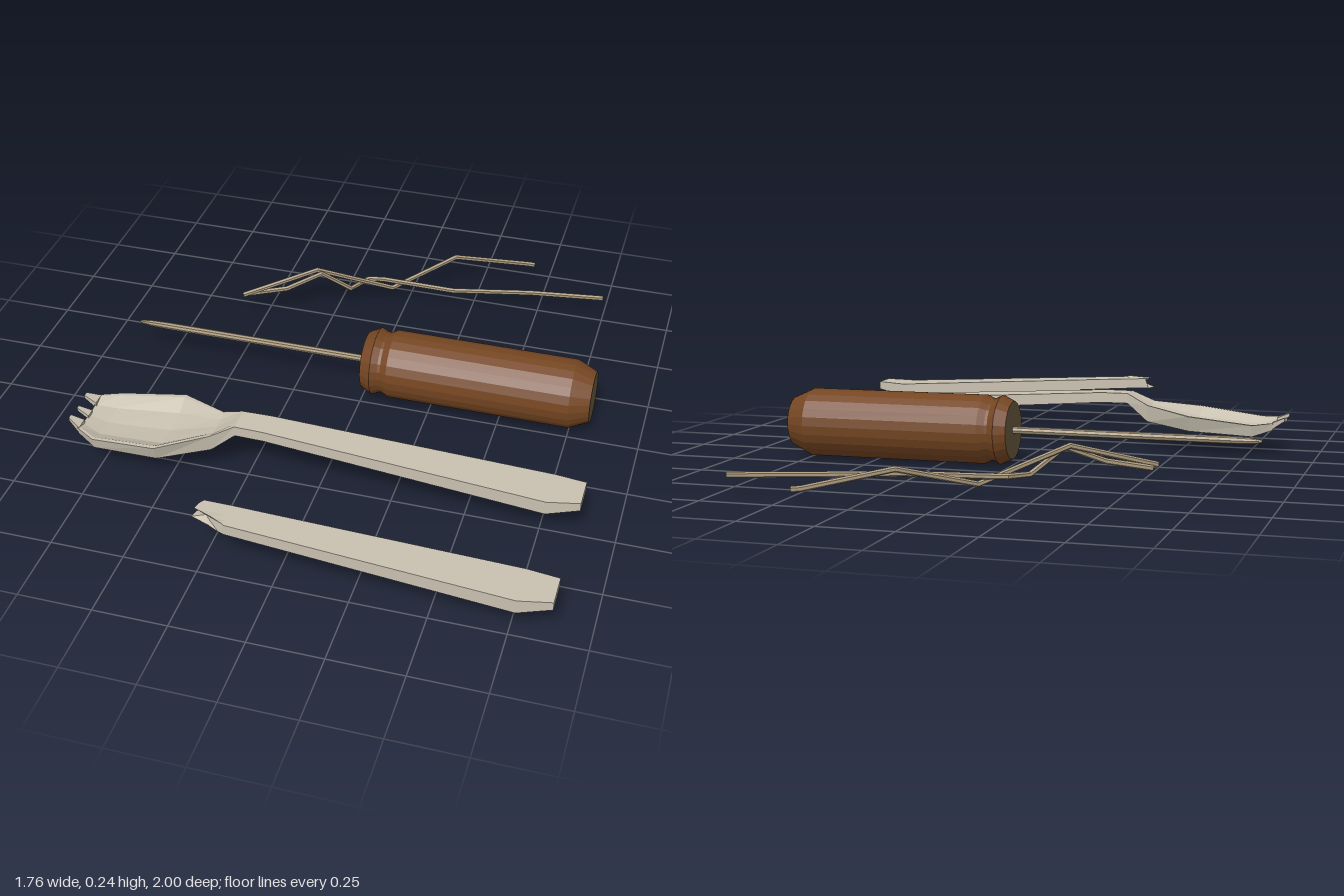
import * as THREE from 'three';

const mat = (color) => new THREE.MeshStandardMaterial({ color, flatShading: true, side: THREE.DoubleSide });
const plastic = mat(0xc8c0b0);
const wire = mat(0xa8977a);
const wood = mat(0x754622);
const capMat = mat(0x64543a);

// Closed skin over a row of rings (each an array of Vector3), capped at both ends
function loft(rings) {
  const n = rings[0].length, pos = [], idx = [];
  rings.forEach((r) => r.forEach((p) => pos.push(p.x, p.y, p.z)));
  for (let i = 0; i < rings.length - 1; i++) {
    for (let j = 0; j < n; j++) {
      const a = i * n + j, b = i * n + (j + 1) % n;
      idx.push(a, b, a + n, b, b + n, a + n);
    }
  }
  [0, rings.length - 1].forEach((k) => {
    const c = new THREE.Vector3();
    rings[k].forEach((p) => c.addScaledVector(p, 1 / n));
    const m = pos.length / 3;
    pos.push(c.x, c.y, c.z);
    for (let j = 0; j < n; j++) {
      const a = k * n + j, b = k * n + (j + 1) % n;
      if (k === 0) idx.push(m, b, a); else idx.push(m, a, b);
    }
  });
  const g = new THREE.BufferGeometry();
  g.setAttribute('position', new THREE.Float32BufferAttribute(pos, 3));
  g.setIndex(idx);
  const flat = g.toNonIndexed();
  flat.computeVertexNormals();
  return flat;
}

function part(name, geometry, material) {
  const m = new THREE.Mesh(geometry, material);
  m.name = name;
  return m;
}

// Cutlery section: flat or hollowed top, then the underside back again
const ACROSS = [-1, -0.9, -0.55, 0, 0.55, 0.9, 1];
const HOLLOW = [0, 0, 0.75, 1, 0.75, 0, 0];
function section([x, half, top, bottom, depth = 0, under = 1], z, jag) {
  const over = ACROSS.map((f, i) =>
    new THREE.Vector3(x + (jag ? jag[i] + 0.012 : 0), top - depth * HOLLOW[i], z + f * half));
  const below = ACROSS.map((f, i) =>
    new THREE.Vector3(x + (jag ? jag[i] : 0), bottom, z + f * half * under));
  return over.concat(below.reverse());
}

// Crooked wire: hexagonal rings across the path
function crookedWire(name, points, radius) {
  const pts = points.map((p) => new THREE.Vector3(...p));
  const up = new THREE.Vector3(0, 1, 0);
  const rings = pts.map((p, i) => {
    const t = pts[Math.min(i + 1, pts.length - 1)].clone().sub(pts[Math.max(i - 1, 0)]).normalize();
    const u = up.clone().addScaledVector(t, -up.dot(t)).normalize();
    const v = new THREE.Vector3().crossVectors(t, u);
    return Array.from({ length: 6 }, (_, k) => {
      const a = (k / 6) * Math.PI * 2;
      return p.clone().addScaledVector(u, Math.cos(a) * radius).addScaledVector(v, Math.sin(a) * radius);
    });
  });
  return part(name, loft(rings), wire);
}

// Lathe around an axis lying along x; profile is [x, radius]
function turned(name, profile, sides, material) {
  const g = new THREE.LatheGeometry(profile.map(([x, r]) => new THREE.Vector2(r, x)), sides);
  g.rotateZ(-Math.PI / 2);
  return part(name, g, material);
}

export function createModel() {
  const model = new THREE.Group();
  model.name = 'improvisedTools';

  // Awl: turned handle, end faces and thin spike
  const awl = new THREE.Group();
  awl.name = 'awl';
  awl.position.set(0, 0.123, -0.093);
  awl.add(turned('awlHandle', [[0, 0.102], [0.04, 0.122], [0.065, 0.11], [0.075, 0.11],
    [0.1, 0.122], [0.75, 0.122], [0.82, 0.09]], 24, wood));
  [[0, 0.102, -1], [0.82, 0.09, 1]].forEach(([x, r, s]) => {
    const cap = part('awlHandleEnd', new THREE.CircleGeometry(r, 24), capMat);
    cap.rotation.y = s * Math.PI / 2;
    cap.position.x = x;
    awl.add(cap);
  });
  awl.add(turned('awlSpike', [[-0.87, 0], [-0.87, 0.006], [-0.83, 0.011], [-0.76, 0.013], [0.01, 0.013]], 8, wire));
  model.add(awl);

  // Spork: hollow bowl running into a tapering handle
  const grip = [[0.77, 0.073, 0.145, 0.095], [0.88, 0.055, 0.15, 0.12]];
  const sporkZ = 0.46;
  const stations = [
    [-0.84, 0.098, 0.118, 0.092, 0.016, 0.95],
    [-0.77, 0.136, 0.112, 0.07, 0.03, 0.93],
    [-0.54, 0.156, 0.138, 0.082, 0.04, 0.88],
    [-0.37, 0.07, 0.162, 0.1, 0.012, 0.9],
    [-0.29, 0.045, 0.2, 0.163],
    [-0.19, 0.047, 0.2, 0.163],
    ...grip];
  const spork = new THREE.Group();
  spork.name = 'spork';
  spork.add(part('sporkBody', loft(stations.map((s) => section(s, sporkZ))), plastic));

  // Tines: [tip centre, tip half width, base centre, base half width]
  [[-0.066, 0.009, -0.073, 0.024], [0, 0.007, 0, 0.017], [0.066, 0.009, 0.073, 0.024]].forEach(([tz, tw, bz, bw]) => {
    const lift = bz === 0 ? -0.008 : 0;
    spork.add(part('sporkTine', loft([
      section([-0.88, tw, 0.136 + lift, 0.124 + lift], sporkZ + tz),
      section([-0.835, bw, 0.118 + lift, 0.094], sporkZ + bz)]), plastic));
  });
  model.add(spork);

  // Snapped handle with a jagged broken end
  const jag = [0.012, 0.008, 0, -0.005, 0.06, 0.09, 0.1];
  const snapped = [[-0.28, 0.045, 0.2, 0.163], [-0.16, 0.048, 0.196, 0.158], ...grip];
  model.add(part('snappedHandle',
    loft(snapped.map((s, i) => section(s, 0.927, i === 0 ? jag : null))), plastic));

  // Two bent wires lying across each other
  model.add(crookedWire('bentWireLong', [[-0.585, 0.085, -0.42], [-0.33, 0.157, -0.56],
    [-0.065, 0.042, -0.69], [0.145, 0.11, -0.87], [0.41, 0.055, -0.985], [0.44, 0.052, -0.99]], 0.01));
  model.add(crookedWire('bentWireKinked', [[-0.575, 0.077, -0.445], [-0.43, 0.1, -0.487],
    [-0.31, 0.15, -0.55], [-0.21, 0.066, -0.605], [-0.16, 0.07, -0.685], [-0.1, 0.07, -0.697],
    [0.175, 0.065, -0.7], [0.465, 0.06, -0.775], [0.74, 0.053, -0.825]], 0.01));

  return model;
}
